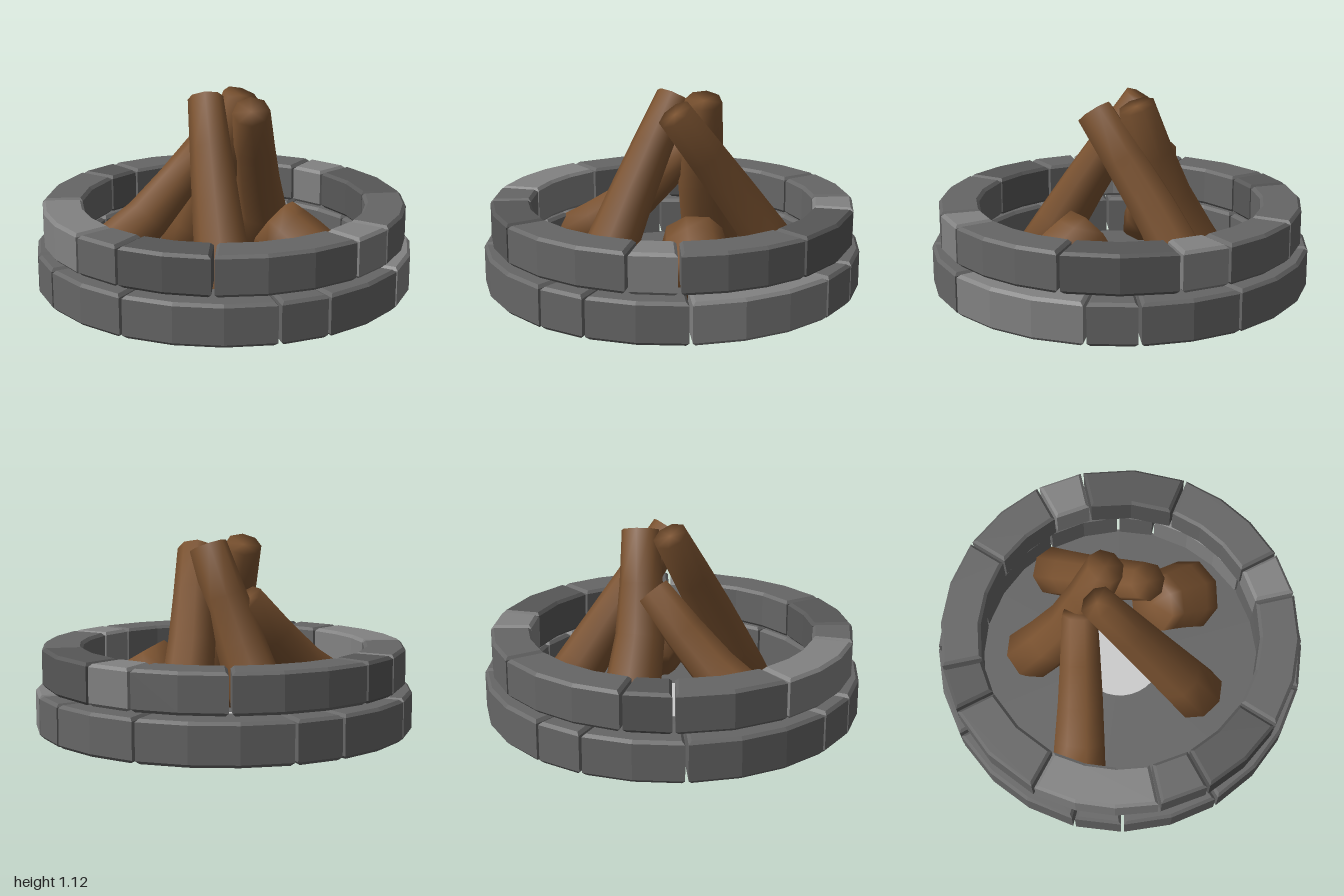
import * as THREE from 'three';

const rad = THREE.MathUtils.degToRad;
const mat = (color, opts = {}) => new THREE.MeshStandardMaterial({ color, ...opts });
const V = (x, y, z) => new THREE.Vector3(x, y, z);

// Three shades of stone: dark, medium, light
const stoneMats = [0x575757, 0x666666, 0x828282].map((c) => mat(c, { flatShading: true }));
const woodMat = mat(0x7a5230, { side: THREE.DoubleSide });

// One bevelled stone: an arc segment between two angles, from y0 to y1
function stone(a0, a1, rIn, rOut, y0, y1, shade) {
  const bevel = 0.016, gap = 0.007;
  const segs = Math.max(1, Math.round((a1 - a0) / 15));
  const pts = [];
  const arc = (r, reverse) => {
    const inset = (bevel + gap) / r;
    for (let i = 0; i <= segs; i++) {
      const t = (reverse ? segs - i : i) / segs;
      const a = THREE.MathUtils.lerp(rad(a0) + inset, rad(a1) - inset, t);
      pts.push(new THREE.Vector2(Math.cos(a) * r, Math.sin(a) * r));
    }
  };
  arc(rOut - bevel, false);
  arc(rIn + bevel, true);
  const geo = new THREE.ExtrudeGeometry(new THREE.Shape(pts), {
    depth: y1 - y0 - 2 * bevel, bevelEnabled: true, bevelSegments: 1,
    bevelSize: bevel, bevelThickness: bevel,
  });
  geo.rotateX(Math.PI / 2).translate(0, y1 - bevel, 0);
  const mesh = new THREE.Mesh(geo, stoneMats[shade]);
  mesh.name = 'stone';
  return mesh;
}

// A course of stones: list of [width in degrees, shade]
function stoneRing(name, start, stones, rIn, rOut, y0, y1) {
  const ring = new THREE.Group();
  ring.name = name;
  let a = start;
  for (const [width, shade] of stones) {
    ring.add(stone(a, a + width, rIn, rOut, y0, y1, shade));
    a += width;
  }
  return ring;
}

// A tapered, slightly bent eight-sided log with closed ends
function log(name, points, r0, r1) {
  const sides = 8, steps = 4;
  const curve = new THREE.CatmullRomCurve3(points);
  const pos = [], idx = [];
  for (let i = 0; i <= steps; i++) {
    const t = i / steps, c = curve.getPoint(t), dir = curve.getTangent(t);
    const q = new THREE.Quaternion().setFromUnitVectors(V(0, 1, 0), dir);
    const r = THREE.MathUtils.lerp(r0, r1, t);
    for (let j = 0; j < sides; j++) {
      const a = ((j + 0.5) / sides) * Math.PI * 2;
      pos.push(...V(Math.cos(a) * r, 0, Math.sin(a) * r).applyQuaternion(q).add(c).toArray());
      if (i < steps) {
        const p = i * sides + j, n = i * sides + ((j + 1) % sides);
        idx.push(p, p + sides, n, n, p + sides, n + sides);
      }
    }
  }
  const base = pos.length / 3, last = steps * sides;
  pos.push(...points[0].toArray(), ...points[points.length - 1].toArray());
  for (let j = 0; j < sides; j++) {
    const n = (j + 1) % sides;
    idx.push(base, j, n, base + 1, last + n, last + j);
  }
  const geo = new THREE.BufferGeometry();
  geo.setAttribute('position', new THREE.Float32BufferAttribute(pos, 3));
  geo.setIndex(idx);
  geo.computeVertexNormals();
  const mesh = new THREE.Mesh(geo, woodMat);
  mesh.name = name;
  return mesh;
}

export function createModel() {
  const model = new THREE.Group();
  model.name = 'firePit';

  // Two courses of stones, the upper one turned and slightly smaller
  const quarter = [[15, 1], [45, 1], [30, 1]];
  const lower = [...quarter, ...quarter, ...quarter, ...quarter];
  lower[1] = [45, 2];
  const upper = [
    [40, 1], [15, 2], [45.5, 1], [29, 0], [16, 1], [40, 2],
    [35, 1], [15, 0], [44.5, 1], [29.5, 1], [15.5, 2], [35, 0],
  ];
  model.add(
    stoneRing('lowerStoneRing', -7.5, lower, 0.775, 1.007, 0.09, 0.31),
    stoneRing('upperStoneRing', 15.5, upper, 0.755, 0.97, 0.33, 0.54),
  );

  // Floor slab with an ash bed in its middle
  const floor = new THREE.Mesh(new THREE.CylinderGeometry(0.79, 0.79, 0.012, 48), mat(0x646464));
  floor.name = 'floor';
  floor.position.y = 0.1;
  const ash = new THREE.Mesh(new THREE.CylinderGeometry(0.235, 0.235, 0.018, 32), mat(0xcccccc));
  ash.name = 'ashBed';
  ash.position.y = 0.1;
  model.add(floor, ash);

  // Logs leaning together
  const logs = new THREE.Group();
  logs.name = 'logs';
  logs.add(
    log('rightLog', [V(-0.75, 0.16, -0.14), V(-0.38, 0.42, -0.17), V(-0.02, 0.79, -0.21)], 0.155, 0.095),
    log('backLog', [V(-0.03, 0.08, -0.5), V(0.03, 0.55, -0.26), V(0.14, 1.07, -0.09)], 0.165, 0.1),
    log('leftLog', [V(0.46, 0.145, -0.43), V(0.28, 0.57, -0.18), V(0.1, 1.03, 0.13)], 0.145, 0.1),
    log('frontLog', [V(-0.18, 0.14, 0.46), V(-0.13, 0.58, 0.2), V(-0.06, 1.07, -0.11)], 0.155, 0.095),
    log('stumpLog', [V(0.39, 0.2, 0.36), V(0.31, 0.31, 0.26), V(0.22, 0.41, 0.15)], 0.2, 0.16),
  );
  model.add(logs);
  return model;
}
